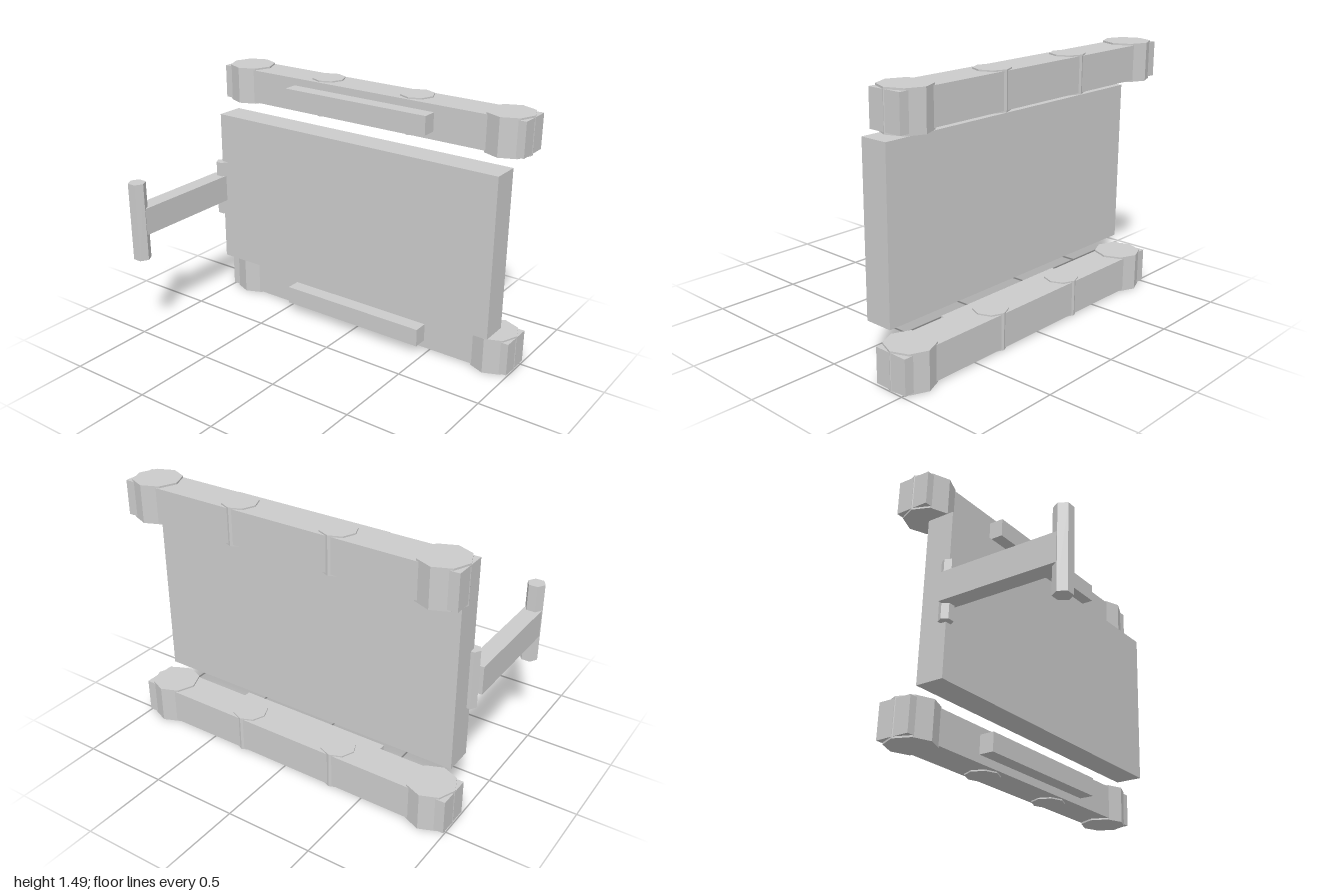
import * as THREE from 'three';

const grey = new THREE.MeshStandardMaterial({ color: 0xcccccc, flatShading: true });

function add(group, name, geometry, x, y, z) {
  const mesh = new THREE.Mesh(geometry, grey);
  mesh.name = name;
  mesh.position.set(x, y, z);
  group.add(mesh);
  return mesh;
}

// box given by its lower and upper limits on each axis
function box(group, name, [x0, x1], [y0, y1], [z0, z1]) {
  return add(group, name, new THREE.BoxGeometry(x1 - x0, y1 - y0, z1 - z0),
    (x0 + x1) / 2, (y0 + y1) / 2, (z0 + z1) / 2);
}

// upright prism with a corner pointing along x
function post(group, name, sides, r, x, [y0, y1], z) {
  const geometry = new THREE.CylinderGeometry(r, r, y1 - y0, sides).rotateY(Math.PI / 2);
  return add(group, name, geometry, x, (y0 + y1) / 2, z);
}

// horizontal beam with octagonal posts through it and a bar on the front
function createRail(name) {
  const rail = new THREE.Group();
  rail.name = name;
  box(rail, 'beam', [-0.998, 0.998], [0.01, 0.205], [-0.525, -0.325]);
  box(rail, 'frontBar', [-0.468, 0.466], [0.055, 0.162], [-0.33, -0.238]);
  for (const side of [-1, 1]) {
    post(rail, 'endPost', 8, 0.134, side * 0.866, [0, 0.215], -0.423);
    post(rail, 'middlePost', 8, 0.097, side * 0.299 - 0.003, [0.002, 0.213], -0.434);
  }
  return rail;
}

export function createModel() {
  const model = new THREE.Group();
  model.name = 'model';

  // rails below and above the panel
  const lower = createRail('lowerRail');
  const upper = createRail('upperRail');
  upper.position.y = 1.27;
  model.add(lower, upper);

  // main slab
  box(model, 'panel', [-0.935, 0.932], [0.277, 1.21], [-0.354, -0.19]);

  // side arm with its hinge pin and grip
  const arm = new THREE.Group();
  arm.name = 'sideArm';
  box(arm, 'armBeam', [-0.998, -0.902], [0.662, 0.823], [-0.19, 0.505]);
  post(arm, 'hingePin', 6, 0.039, -0.936, [0.577, 0.91], -0.19);
  post(arm, 'grip', 6, 0.051, -0.949, [0.51, 0.976], 0.511);
  model.add(arm);

  return model;
}
